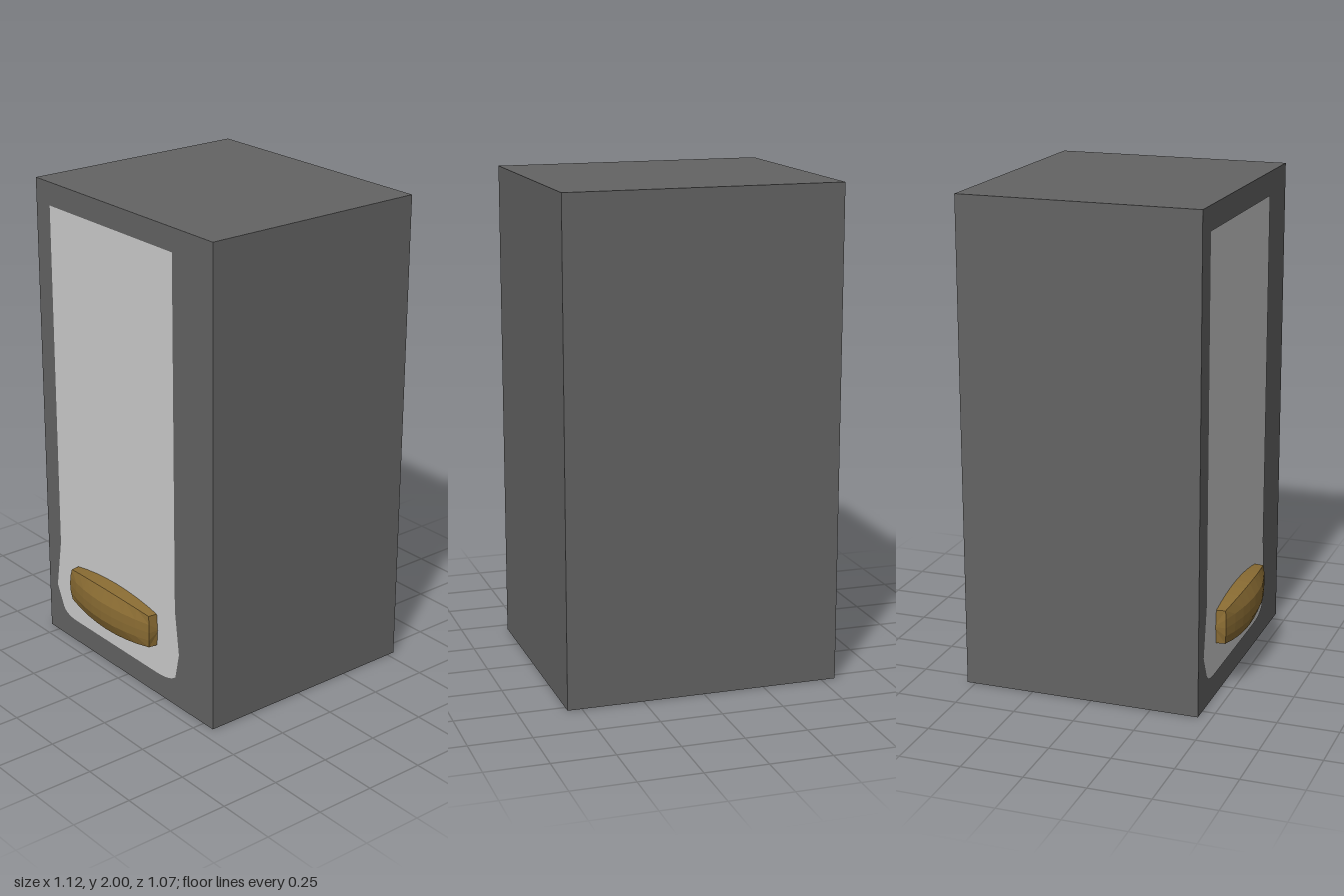
import * as THREE from 'three';

const FRONT = 0.447;
const BACK = -0.535;

function part(name, geometry, color, options = {}) {
  const material = new THREE.MeshStandardMaterial({ color, ...options });
  const mesh = new THREE.Mesh(geometry, material);
  mesh.name = name;
  return mesh;
}

// Faceted barrel-shaped bar, lofted along x and open where it meets the body
function handleGeometry() {
  // [end z, end half height, middle z, middle half height, x half length]
  const upper = [
    [0.44, 0.07, 0.44, 0.098, 0.272],
    [0.486, 0.07, 0.507, 0.092, 0.266],
    [0.49, 0.036, 0.53, 0.04, 0.273],
  ];
  const nose = [0.491, 0, 0.532, 0, 0.275];
  const lower = upper.map(([a, b, c, d, e]) => [a, -b, c, -d, e]).reverse();
  const section = [...upper, nose, ...lower];

  const steps = 8;
  const point = (i, j) => {
    const t = (i / steps) * 2 - 1;
    const bulge = 1 - t * t;
    const [z0, y0, z1, y1, half] = section[j];
    return [t * half, y0 + (y1 - y0) * bulge, z0 + (z1 - z0) * bulge];
  };

  const positions = [];
  const triangle = (...corners) => positions.push(...corners.flat());
  for (let j = 0; j < section.length - 1; j++) {
    for (let i = 0; i < steps; i++) {
      const a = point(i, j), b = point(i + 1, j);
      const c = point(i + 1, j + 1), d = point(i, j + 1);
      triangle(a, d, c);
      triangle(a, c, b);
    }
    // End caps
    triangle([0.277, 0, 0.44], point(steps, j), point(steps, j + 1));
    triangle([-0.277, 0, 0.44], point(0, j + 1), point(0, j));
  }
  const geometry = new THREE.BufferGeometry();
  geometry.setAttribute('position', new THREE.Float32BufferAttribute(positions, 3));
  geometry.computeVertexNormals();
  return geometry;
}

export function createModel() {
  const model = new THREE.Group();
  model.name = 'cabinet';

  // Plain rectangular body
  const body = part('body', new THREE.BoxGeometry(1.116, 2, FRONT - BACK), 0x636363);
  body.position.set(0, 1, (FRONT + BACK) / 2);
  model.add(body);

  // Flush front panel, flared and rounded at its foot
  const outline = new THREE.Shape();
  outline.moveTo(-0.464, 1.905);
  outline.lineTo(-0.464, 0.43);
  outline.lineTo(-0.498, 0.22);
  outline.lineTo(-0.455, 0.13);
  outline.quadraticCurveTo(-0.435, 0.097, -0.36, 0.097);
  outline.lineTo(0.2, 0.097);
  outline.quadraticCurveTo(0.29, 0.098, 0.322, 0.13);
  outline.lineTo(0.346, 0.24);
  outline.lineTo(0.322, 0.43);
  outline.lineTo(0.322, 1.905);
  const panel = part('frontPanel', new THREE.ShapeGeometry(outline, 6), 0xcccccc);
  panel.position.z = FRONT + 0.002;
  model.add(panel);

  // Brass-coloured bar low on the panel
  const handle = part('handle', handleGeometry(), 0x8a6c33, { flatShading: true });
  handle.position.set(-0.068, 0.295, 0);
  model.add(handle);

  return model;
}
